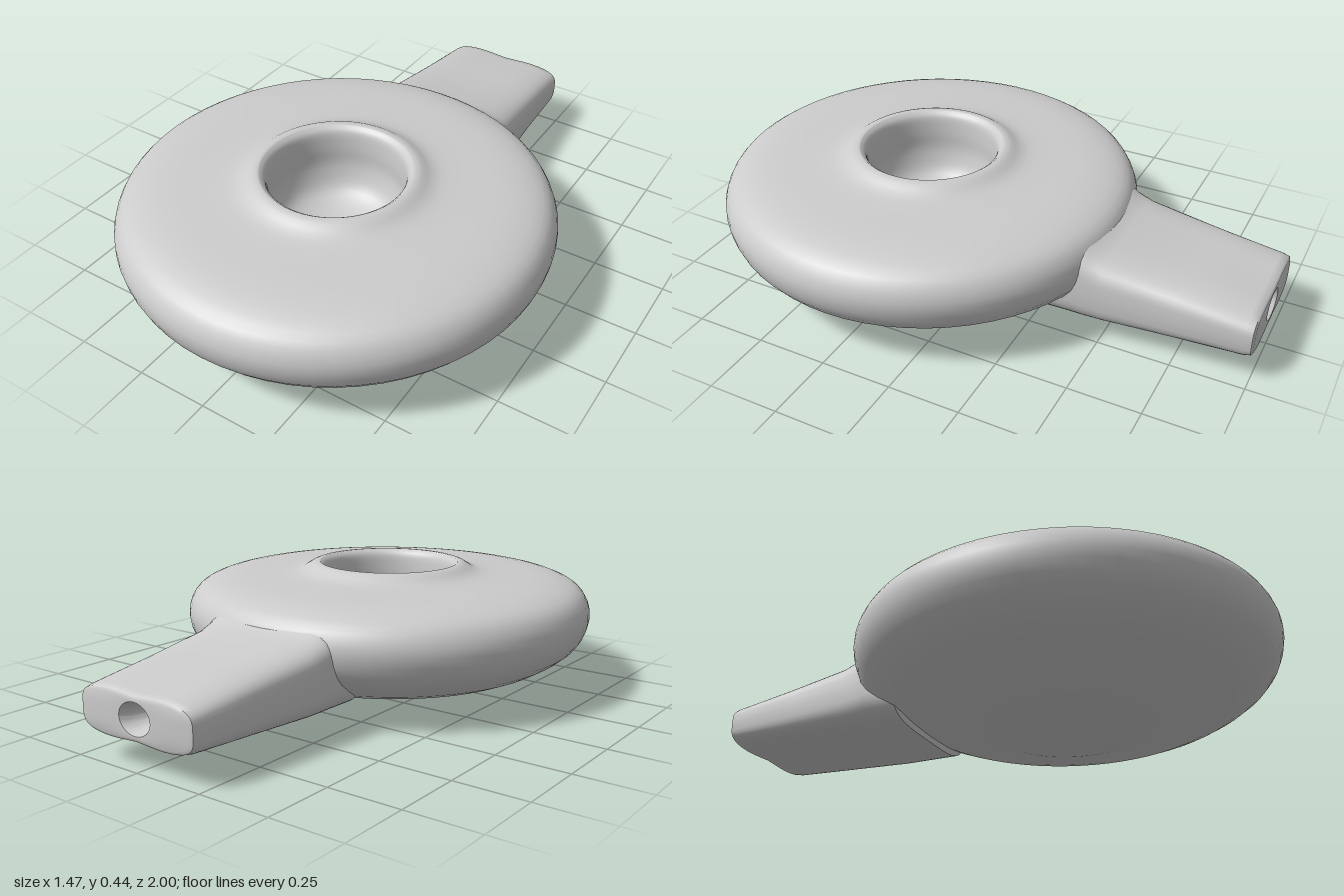
import * as THREE from 'three';
import { toCreasedNormals } from 'three/addons/utils/BufferGeometryUtils.js';

const material = new THREE.MeshStandardMaterial({ color: 0xcccccc, side: THREE.DoubleSide });

// Turned bowl: outer wall, raised collar, then the inside of the well
function makeBody() {
  const curve = (pts) => new THREE.SplineCurve(pts.map(([r, y]) => new THREE.Vector2(r, y))).getPoints(30);
  const outer = curve([[0.26, 0.005], [0.42, 0.045], [0.58, 0.09], [0.7, 0.17], [0.737, 0.26],
    [0.72, 0.33], [0.67, 0.372], [0.57, 0.395], [0.42, 0.403], [0.33, 0.412], [0.28, 0.438], [0.255, 0.442]]);
  const inner = curve([[0.255, 0.442], [0.235, 0.42], [0.228, 0.36], [0.225, 0.28], [0.19, 0.2], [0.1, 0.16], [0, 0.15]]);
  const profile = [new THREE.Vector2(0, 0.003), ...outer, ...inner.slice(1)];
  const mesh = new THREE.Mesh(new THREE.LatheGeometry(profile, 64), material);
  mesh.name = 'body';
  mesh.position.z = 0.26;
  return mesh;
}

// Tapering nozzle with rounded-box sections; the last rings turn in to form the wick hole
function makeNozzle() {
  const N = 48;
  // z, half width, bottom, top, squareness (2 = ellipse)
  const rings = [
    [-0.27, 0.25, 0.1, 0.3, 4],
    [-0.28, 0.27, 0.055, 0.36, 4],
    [-0.4, 0.27, 0.057, 0.365, 4],
    [-0.44, 0.267, 0.058, 0.335, 4],
    [-0.5, 0.263, 0.06, 0.312, 4],
    [-0.75, 0.245, 0.072, 0.277, 4],
    [-0.97, 0.235, 0.085, 0.247, 4],
    [-0.995, 0.23, 0.09, 0.242, 4],
    [-1.0, 0.215, 0.098, 0.234, 4],
    [-1.0, 0.065, 0.115, 0.218, 2],
    [-0.97, 0.05, 0.125, 0.21, 2],
    [-0.88, 0.03, 0.14, 0.195, 2],
    [-0.87, 0, 0.167, 0.167, 2],
  ];
  const positions = [], index = [];
  const power = (v, n) => Math.sign(v) * Math.abs(v) ** (2 / n);
  rings.forEach(([z, w, y0, y1, n], i) => {
    for (let j = 0; j < N; j++) {
      const a = (j / N) * Math.PI * 2;
      const x = w * power(Math.cos(a), n);
      // slight pinch at mid width toward the mouth
      const pinch = i > 5 && i < 9 ? 1 - 0.1 * Math.exp(-((x / 0.07) ** 2)) : 1;
      positions.push(x, (y0 + y1) / 2 + ((y1 - y0) / 2) * power(Math.sin(a), n) * pinch, z);
      if (i < rings.length - 1) {
        const p = i * N + j, q = i * N + (j + 1) % N;
        index.push(p, p + N, q, q, p + N, q + N);
      }
    }
  });
  const geometry = new THREE.BufferGeometry();
  geometry.setAttribute('position', new THREE.Float32BufferAttribute(positions, 3));
  geometry.setIndex(index);
  const mesh = new THREE.Mesh(toCreasedNormals(geometry, 0.9), material);
  mesh.name = 'nozzle';
  return mesh;
}

export function createModel() {
  const group = new THREE.Group();
  group.name = 'oilLamp';
  group.add(makeBody(), makeNozzle());
  return group;
}
